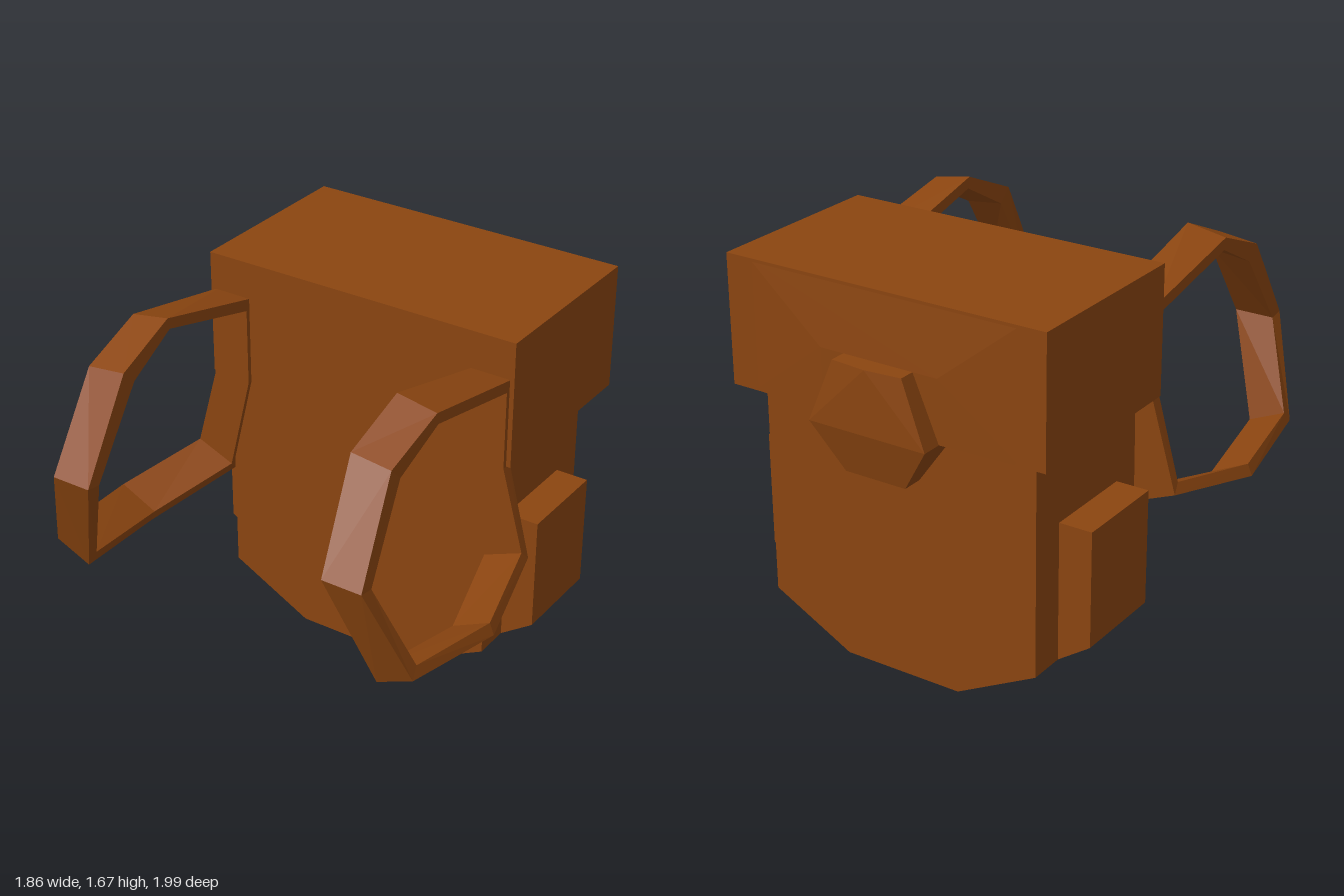
import * as THREE from 'three';
import { ConvexGeometry } from 'three/addons/geometries/ConvexGeometry.js';

const leather = new THREE.MeshStandardMaterial({ color: 0x8b4510, flatShading: true });

function part(name, geometry) {
  const mesh = new THREE.Mesh(geometry, leather);
  mesh.name = name;
  return mesh;
}

// Extrudes a front-view outline from zBack to zFront
function slab(name, outline, zBack, zFront) {
  const shape = new THREE.Shape(outline.map(([x, y]) => new THREE.Vector2(x, y)));
  const geometry = new THREE.ExtrudeGeometry(shape, { depth: zFront - zBack, bevelEnabled: false });
  geometry.translate(0, 0, zBack);
  return part(name, geometry);
}

// Convex solid from points mirrored across x = 0
function mirroredHull(name, points) {
  const all = points.flatMap(([x, y, z]) => (x === 0 ? [[0, y, z]] : [[x, y, z], [-x, y, z]]));
  return part(name, new ConvexGeometry(all.map((p) => new THREE.Vector3(...p))));
}

// Strap stations around the loop:
// z outer, z inner, y at inside edge, y at outside edge, inner y step, x inside, x outside, inner x step
const strapStations = [
  [-0.10, -0.05, 1.50, 1.50, -0.04, 0.535, 0.71, 0],
  [0.46, 0.45, 1.64, 1.61, -0.05, 0.535, 0.71, 0],
  [0.74, 0.68, 1.52, 1.50, -0.06, 0.535, 0.71, 0],
  [0.99, 0.925, 1.12, 1.12, -0.01, 0.535, 0.71, 0],
  [0.84, 0.80, 0.63, 0.70, 0.045, 0.70, 0.86, -0.01],
  [0.36, 0.36, 0.57, 0.65, 0.05, 0.765, 0.93, -0.02],
  [-0.09, -0.05, 0.65, 0.72, 0.04, 0.65, 0.82, -0.01],
  [-0.10, -0.05, 1.12, 1.12, 0, 0.535, 0.71, 0],
];

// Closed loop of four-cornered sections; shifts nudge single stations sideways
function strap(name, side, shifts) {
  const positions = [];
  const index = [];
  const count = strapStations.length;
  strapStations.forEach(([zo, zi, yIn, yOut, dy, xIn, xOut, dx], i) => {
    const shift = shifts[i] || 0;
    const a = xIn + shift, b = xOut + shift;
    positions.push(
      side * b, yOut, zo,
      side * a, yIn, zo,
      side * (a + dx), yIn + dy, zi,
      side * (b + dx), yOut + dy, zi,
    );
    for (let k = 0; k < 4; k++) {
      const p = i * 4 + k, q = i * 4 + ((k + 1) % 4);
      const next = ((i + 1) % count) * 4;
      const r = next + ((k + 1) % 4), s = next + k;
      if (side > 0) index.push(p, q, r, p, r, s);
      else index.push(p, r, q, p, s, r);
    }
  });
  const indexed = new THREE.BufferGeometry();
  indexed.setAttribute('position', new THREE.Float32BufferAttribute(positions, 3));
  indexed.setIndex(index);
  const geometry = indexed.toNonIndexed();
  geometry.computeVertexNormals();
  return part(name, geometry);
}

export function createModel() {
  const group = new THREE.Group();
  group.name = 'backpack';

  // Main bag with a tapered bottom
  group.add(slab('body', [
    [-0.27, 0], [0.27, 0], [0.635, 0.19], [0.635, 1.125], [-0.635, 1.125], [-0.635, 0.19],
  ], -0.81, -0.07));

  // Overhanging lid
  const lid = part('lid', new THREE.BoxGeometry(1.46, 0.55, 0.825));
  lid.position.set(0, 1.395, -0.4825);
  group.add(lid);

  // Slight swelling of the lid's back face around the clasp
  group.add(mirroredHull('lidBulge', [
    [0.62, 1.67, -0.894], [0.62, 1.12, -0.894],
    [0.27, 1.39, -0.915], [0.27, 1.12, -0.91],
  ]));

  // Six-sided clasp, its lower half leaning in under the lid
  group.add(mirroredHull('clasp', [
    [0.16, 1.39, -0.89], [0.16, 1.39, -0.985], [0, 1.39, -1],
    [0.27, 1.12, -0.81], [0.27, 1.12, -1],
    [0.14, 0.92, -0.86], [0.14, 0.92, -0.95],
  ]));

  // Side pockets
  for (const side of [1, -1]) {
    const outline = [[0.62, 0.183], [0.635, 0.19], [0.78, 0.29], [0.78, 0.79], [0.62, 0.79]];
    group.add(slab(side > 0 ? 'leftPocket' : 'rightPocket',
      outline.map(([x, y]) => [side * x, y]), -0.65, -0.23));
  }

  // Shoulder straps; the left one is slightly twisted
  group.add(strap('leftStrap', 1, [0, 0, -0.015, 0.025, 0.005]));
  group.add(strap('rightStrap', -1, []));

  return group;
}
